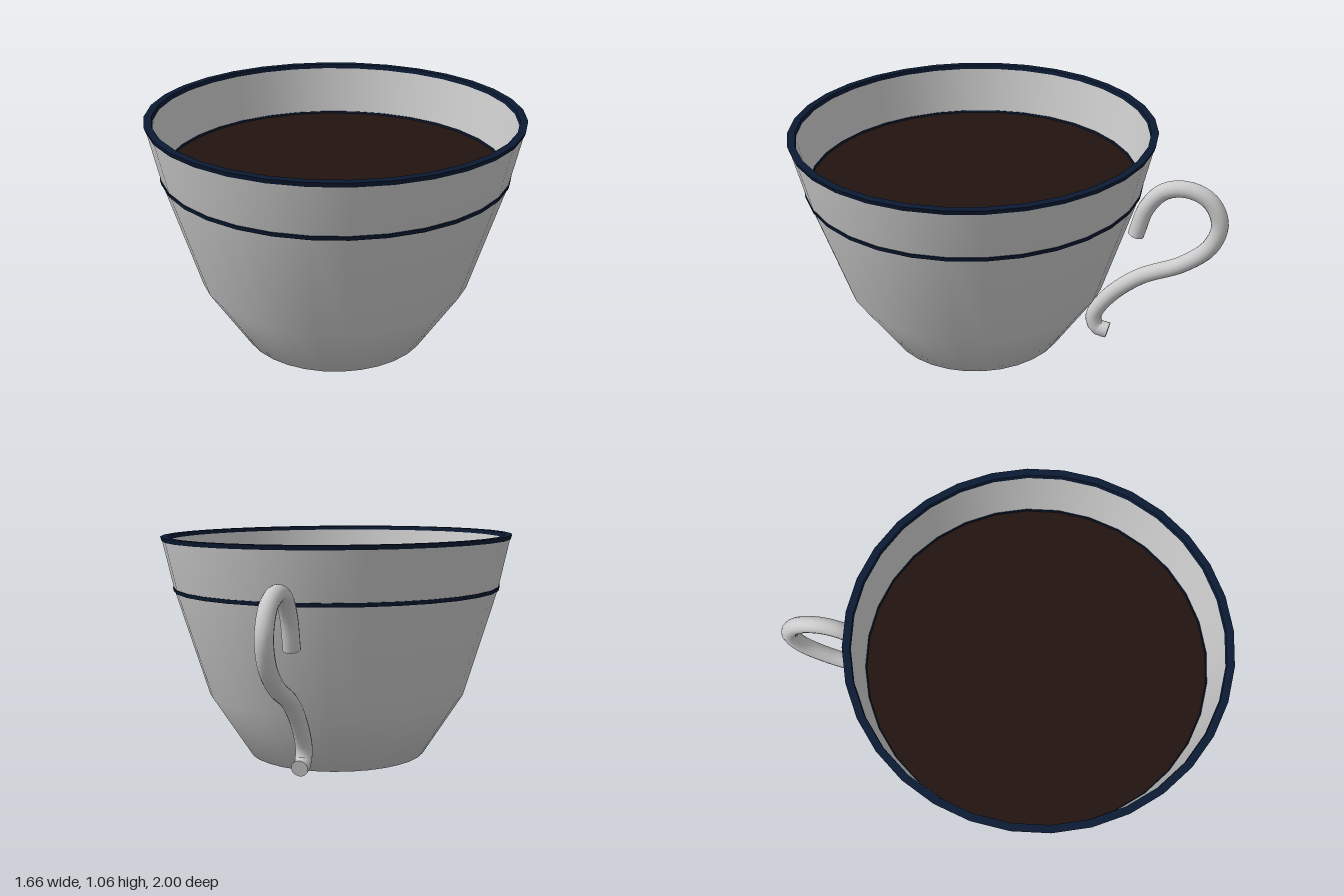
import * as THREE from 'three';

const SEGMENTS = 32;
const china = new THREE.MeshStandardMaterial({ color: 0xcccccc, side: THREE.DoubleSide });
const navy = new THREE.MeshStandardMaterial({ color: 0x0b1a33 });
const coffee = new THREE.MeshStandardMaterial({ color: 0x22130f });

function addMesh(parent, name, geometry, material) {
  const mesh = new THREE.Mesh(geometry, material);
  mesh.name = name;
  parent.add(mesh);
  return mesh;
}

// Revolves [radius, height] pairs; outer profiles run upward, inner ones downward.
function lathe(profile) {
  return new THREE.LatheGeometry(profile.map(([r, y]) => new THREE.Vector2(r, y)), SEGMENTS);
}

// Revolves each profile edge on its own in one sharp-edged ring.
function addRing(parent, name, profile) {
  const ring = new THREE.Group();
  ring.name = name;
  for (let i = 0; i < profile.length - 1; i++) {
    addMesh(ring, name + 'Face', lathe([profile[i], profile[i + 1]]), navy);
  }
  parent.add(ring);
}

export function createModel() {
  const model = new THREE.Group();
  model.name = 'cupOfCoffee';

  // The whole cup leans very slightly
  const cup = new THREE.Group();
  cup.name = 'cup';
  cup.position.set(-0.007, 0.005, 0.168);
  cup.rotation.set(0.003, 0, -0.008);
  model.add(cup);

  // Bowl: base and outer wall, then the inner wall
  addMesh(cup, 'outerWall', lathe([[0, 0], [0.425, 0], [0.615, 0.295], [0.77, 0.8], [0.824, 1.045]]), china);
  addMesh(cup, 'innerWall', lathe([[0.797, 1.045], [0.75, 0.78]]), china);

  // Navy trim: lip, line around the outside, line around the coffee
  addRing(cup, 'rimTrim', [[0.823, 1.03], [0.829, 1.05], [0.796, 1.05], [0.793, 1.03]]);
  addRing(cup, 'outerLine', [[0.767, 0.793], [0.773, 0.793], [0.777, 0.811], [0.771, 0.811]]);
  addRing(cup, 'innerLine', [[0.759, 0.815], [0.752, 0.815], [0.75, 0.803]]);

  // Coffee surface
  const surface = new THREE.CircleGeometry(0.756, SEGMENTS);
  surface.rotateX(-Math.PI / 2);
  surface.translate(0, 0.806, 0);
  addMesh(cup, 'coffee', surface, coffee);

  // S-shaped handle as [z, y] points from the upper end to the lower curl
  const path = [
    [-0.595, 0.622], [-0.638, 0.768], [-0.71, 0.854], [-0.81, 0.877], [-0.91, 0.836],
    [-0.962, 0.73], [-0.928, 0.61], [-0.815, 0.505], [-0.625, 0.405], [-0.485, 0.275],
    [-0.418, 0.155], [-0.435, 0.095], [-0.49, 0.083],
  ].map(([z, y]) => new THREE.Vector3(-0.005, y, z));
  const curve = new THREE.CatmullRomCurve3(path, false, 'centripetal');
  const handle = new THREE.Group();
  handle.name = 'handle';
  model.add(handle);
  addMesh(handle, 'handleTube', new THREE.TubeGeometry(curve, 64, 0.038, 14), china);

  // Flat end caps
  for (const t of [0, 1]) {
    const cap = addMesh(handle, 'handleEnd', new THREE.CircleGeometry(0.038, 14), china);
    const outward = curve.getTangentAt(t).multiplyScalar(t === 0 ? -1 : 1);
    cap.position.copy(curve.getPointAt(t));
    cap.quaternion.setFromUnitVectors(new THREE.Vector3(0, 0, 1), outward);
  }

  return model;
}
